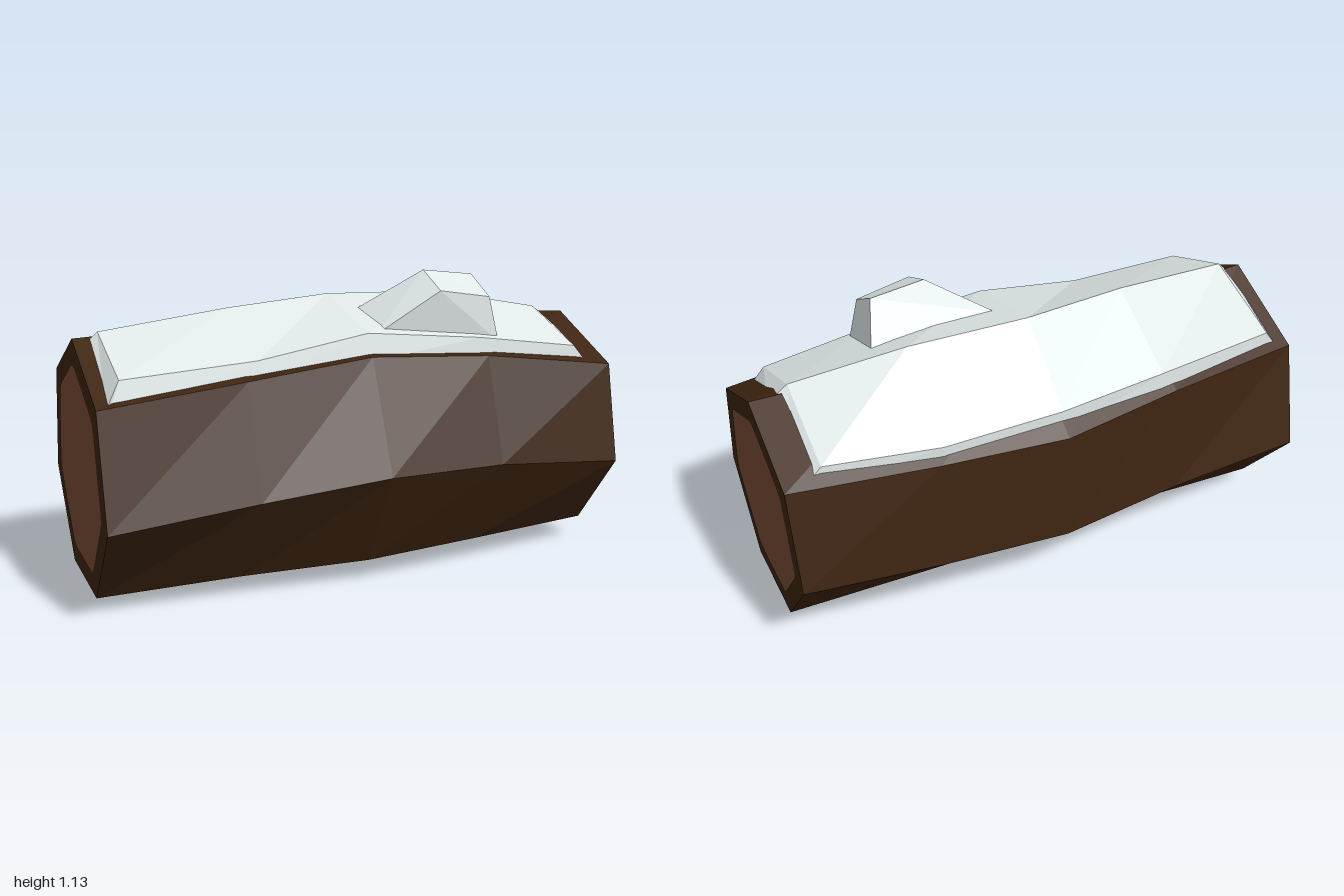
import * as THREE from 'three';

const bark = new THREE.MeshStandardMaterial({ name: 'bark', color: 0x3e2410, flatShading: true });
const cutWood = new THREE.MeshStandardMaterial({ name: 'cutWood', color: 0x784a35, flatShading: true });
const snow = new THREE.MeshStandardMaterial({ name: 'snow', color: 0xe4ecec, flatShading: true });

// Closed solid through rings of [x, y, z] points, each counter-clockwise seen from the last ring's side
function loft(rings) {
  const n = rings[0].length, index = [];
  for (let i = 0; i < rings.length - 1; i++) {
    for (let j = 0; j < n; j++) {
      const a = i * n + j, b = i * n + (j + 1) % n;
      index.push(a, b, a + n, b, b + n, a + n);
    }
  }
  const last = (rings.length - 1) * n;
  for (let j = 1; j < n - 1; j++) {
    index.push(0, j + 1, j);
    index.push(last, last + j, last + j + 1);
  }
  const indexed = new THREE.BufferGeometry();
  indexed.setAttribute('position', new THREE.Float32BufferAttribute(rings.flat(2), 3));
  indexed.setIndex(index);
  const geometry = indexed.toNonIndexed();
  geometry.computeVertexNormals();
  return geometry;
}

// Cross-section of [z, y] pairs placed at x
const section = (x, points) => points.map(([z, y]) => [x, y, z]);

// Heptagon shrunk towards its middle, with rounded corners
function capShape(points, side) {
  const mid = new THREE.Vector2();
  const corners = points.map(([z, y]) => new THREE.Vector2(-side * z, y));
  corners.forEach((p) => mid.addScaledVector(p, 1 / corners.length));
  corners.forEach((p) => p.lerp(mid, 0.18));
  const shape = new THREE.Shape();
  corners.forEach((p, i) => {
    const prev = corners[(i + corners.length - 1) % corners.length];
    const next = corners[(i + 1) % corners.length];
    const start = p.clone().lerp(prev, 0.12), end = p.clone().lerp(next, 0.12);
    if (i === 0) shape.moveTo(start.x, start.y);
    else shape.lineTo(start.x, start.y);
    shape.quadraticCurveTo(p.x, p.y, end.x, end.y);
  });
  shape.closePath();
  return shape;
}

export function createModel() {
  const group = new THREE.Group();
  const add = (name, geometry, material) => {
    const mesh = new THREE.Mesh(geometry, material);
    mesh.name = name;
    group.add(mesh);
    return mesh;
  };

  // Seven-sided log, slightly swollen and twisted in the middle
  const rightEnd = [[-0.02, 0.945], [0.345, 0.77], [0.43, 0.37], [0.18, 0.06], [-0.22, 0.06], [-0.475, 0.37], [-0.38, 0.77]];
  const leftEnd = [[-0.03, 0.915], [0.32, 0.76], [0.4, 0.39], [0.17, 0.09], [-0.2, 0.09], [-0.44, 0.385], [-0.365, 0.76]];
  add('log', loft([
    section(-0.998, rightEnd),
    section(-0.47, [[-0.07, 0.955], [0.315, 0.815], [0.435, 0.415], [0.22, 0.075], [-0.18, 0.05], [-0.46, 0.33], [-0.41, 0.74]]),
    section(0, [[-0.12, 0.96], [0.3, 0.86], [0.475, 0.46], [0.275, 0.085], [-0.145, 0], [-0.47, 0.285], [-0.455, 0.71]]),
    section(0.47, [[-0.09, 0.945], [0.305, 0.83], [0.435, 0.445], [0.235, 0.09], [-0.165, 0.045], [-0.455, 0.32], [-0.42, 0.73]]),
    section(0.998, leftEnd),
  ]), bark);

  // Pale cut faces at both ends
  for (const [name, points, side] of [['leftCutFace', leftEnd, 1], ['rightCutFace', rightEnd, -1]]) {
    const face = add(name, new THREE.ShapeGeometry(capShape(points, side), 4), cutWood);
    face.rotation.y = side * Math.PI / 2;
    face.position.x = side;
  }

  // Snow blanket: ridge, front rim, underside, back rim; its ends slope down into the log
  add('snowBlanket', loft([
    section(-0.965, [[-0.02, 0.915], [0.33, 0.76], [0.33, 0.72], [-0.35, 0.7], [-0.35, 0.755]]),
    section(-0.91, [[-0.01, 0.965], [0.3, 0.855], [0.325, 0.74], [-0.35, 0.74], [-0.345, 0.83]]),
    section(-0.42, [[-0.07, 1.01], [0.27, 0.875], [0.285, 0.8], [-0.39, 0.72], [-0.385, 0.815]]),
    section(0, [[-0.135, 1.03], [0.26, 0.94], [0.28, 0.84], [-0.4, 0.7], [-0.4, 0.79]]),
    section(0.45, [[-0.105, 1.02], [0.275, 0.895], [0.285, 0.8], [-0.395, 0.69], [-0.395, 0.785]]),
    section(0.86, [[-0.03, 0.945], [0.28, 0.835], [0.29, 0.74], [-0.34, 0.72], [-0.335, 0.805]]),
    section(0.935, [[-0.03, 0.89], [0.295, 0.74], [0.295, 0.7], [-0.34, 0.68], [-0.34, 0.735]]),
  ]), snow);

  // Broken branch stub buried in snow
  add('snowyStub', loft([
    [[0.05, 0.985, 0.015], [0.05, 0.925, 0.22], [0.54, 0.87, 0.252], [0.545, 0.945, 0]],
    [[0.29, 1.135, 0.11], [0.29, 1.075, 0.255], [0.5, 1.04, 0.245], [0.495, 1.11, 0.11]],
  ]), snow);

  return group;
}
